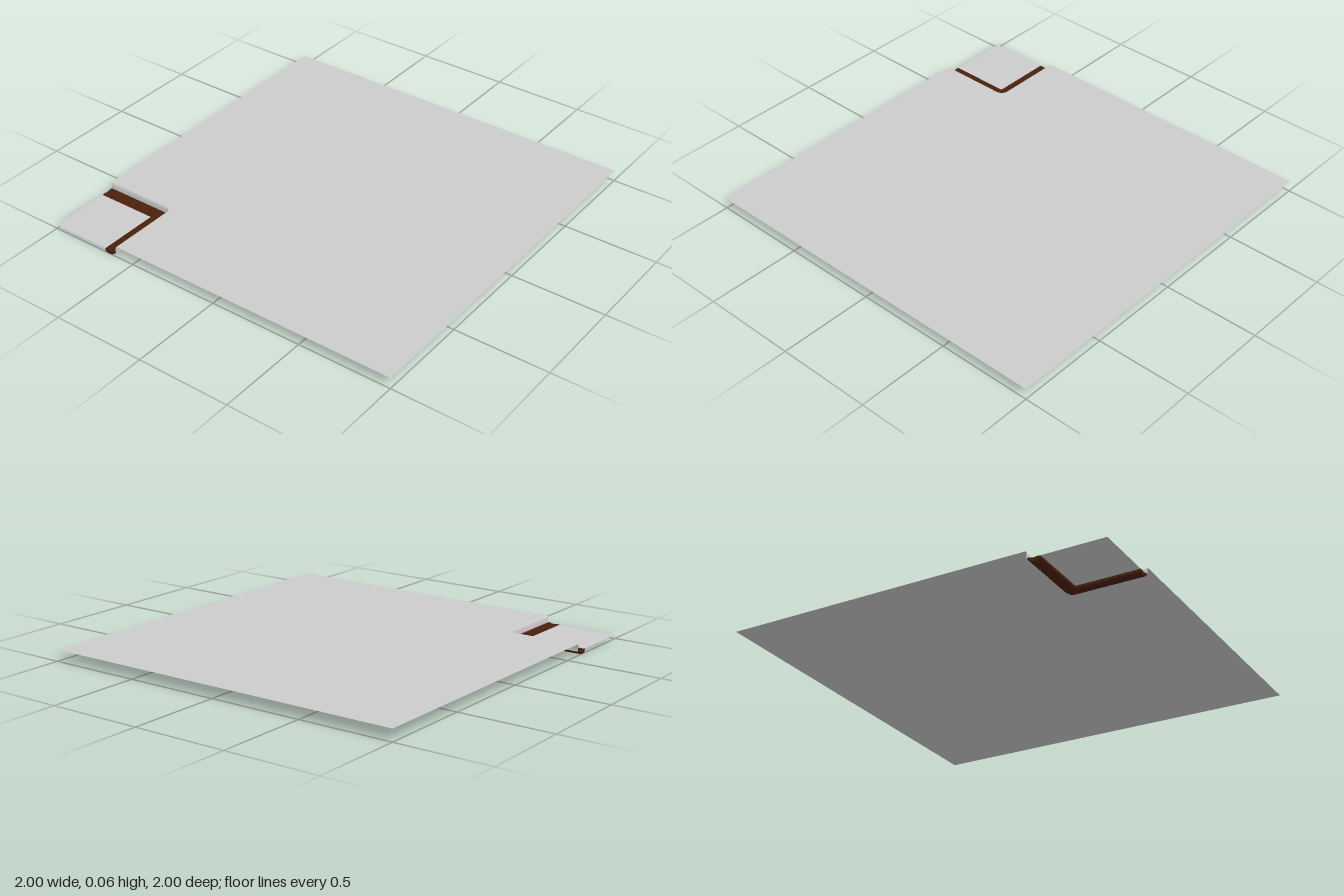
import * as THREE from 'three';
import { toCreasedNormals } from 'three/addons/utils/BufferGeometryUtils.js';

const C = -0.64; // centre of the rounded corner lies at x = C, z = -C
const EDGE = -0.597; // edge of the upper sheet

const material = (name, color) =>
  new THREE.MeshStandardMaterial({ name, color, side: THREE.DoubleSide });

// Sweep a profile of [x, y] points around the corner; points inside C get a mitre
function sweepCorner(profile, closed) {
  const steps = 8;
  const pos = [], idx = [];
  const rows = steps + 3;
  for (let i = 0; i < rows; i++) {
    const a = THREE.MathUtils.clamp((i - 1) / steps, 0, 1) * Math.PI / 2;
    for (const [p, y] of profile) {
      const r = p - C;
      let x = r > 0 ? C + r * Math.sin(a) : p;
      let z = r > 0 ? -C - r * Math.cos(a) : -p;
      if (i === 0) x = -1;
      if (i === rows - 1) z = 1;
      pos.push(x, y, z);
    }
  }
  const n = profile.length;
  for (let i = 0; i < rows - 1; i++) {
    for (let j = 0; j < (closed ? n : n - 1); j++) {
      const k = (j + 1) % n;
      const a = i * n + j, b = i * n + k, c = a + n, d = b + n;
      idx.push(a, c, b, b, c, d);
    }
  }
  const g = new THREE.BufferGeometry();
  g.setAttribute('position', new THREE.Float32BufferAttribute(pos, 3));
  g.setIndex(idx);
  return toCreasedNormals(g, 0.6);
}

export function createModel() {
  const model = new THREE.Group();
  const grey = material('lightGrey', 0xcccccc);
  const brown = material('darkBrown', 0x4a200a);
  const add = (name, geometry, mat) => {
    const mesh = new THREE.Mesh(geometry, mat);
    mesh.name = name;
    model.add(mesh);
    return mesh;
  };

  // Upper sheet with a rounded notch in one corner
  const s = new THREE.Shape();
  s.moveTo(-1, 1);
  s.lineTo(-1, EDGE);
  s.lineTo(C, EDGE);
  s.absarc(C, C, EDGE - C, Math.PI / 2, 0, true);
  s.lineTo(EDGE, -1);
  s.lineTo(1, -1);
  s.lineTo(1, 1);
  add('upperSheet', new THREE.ShapeGeometry(s, 8).rotateX(-Math.PI / 2), grey).position.y = 0.06;

  // Lower sheet filling the corner
  add('lowerSheet', new THREE.PlaneGeometry(0.325, 0.325).rotateX(-Math.PI / 2), grey)
    .position.set(-0.8375, 0.02, 0.8375);

  // Wall with a rounded lip, dropping from the upper sheet
  add('wall', sweepCorner([
    [EDGE, 0.06], [-0.601, 0.059], [-0.604, 0.056], [-0.606, 0.05], [-0.606, 0.02],
  ], false), grey);

  // Moulding along the foot of the wall
  const trim = [
    [-0.607, 0.023], [-0.618, 0.025], [-0.628, 0.021], [-0.645, 0.019], [-0.66, 0.022],
    [-0.675, 0.02], [-0.675, 0.008], [-0.667, 0.001], [-0.655, 0], [-0.638, 0],
    [-0.626, 0.005], [-0.618, 0.014], [-0.607, 0.019],
  ];
  add('moulding', sweepCorner(trim, true), brown);

  // Cut ends of the moulding
  const end = new THREE.Shape(trim.map(([x, y]) => new THREE.Vector2(x, y)));
  add('frontMouldingEnd', new THREE.ShapeGeometry(end), brown).position.z = 1;
  add('sideMouldingEnd', new THREE.ShapeGeometry(end).rotateY(Math.PI / 2), brown).position.x = -1;

  return model;
}
